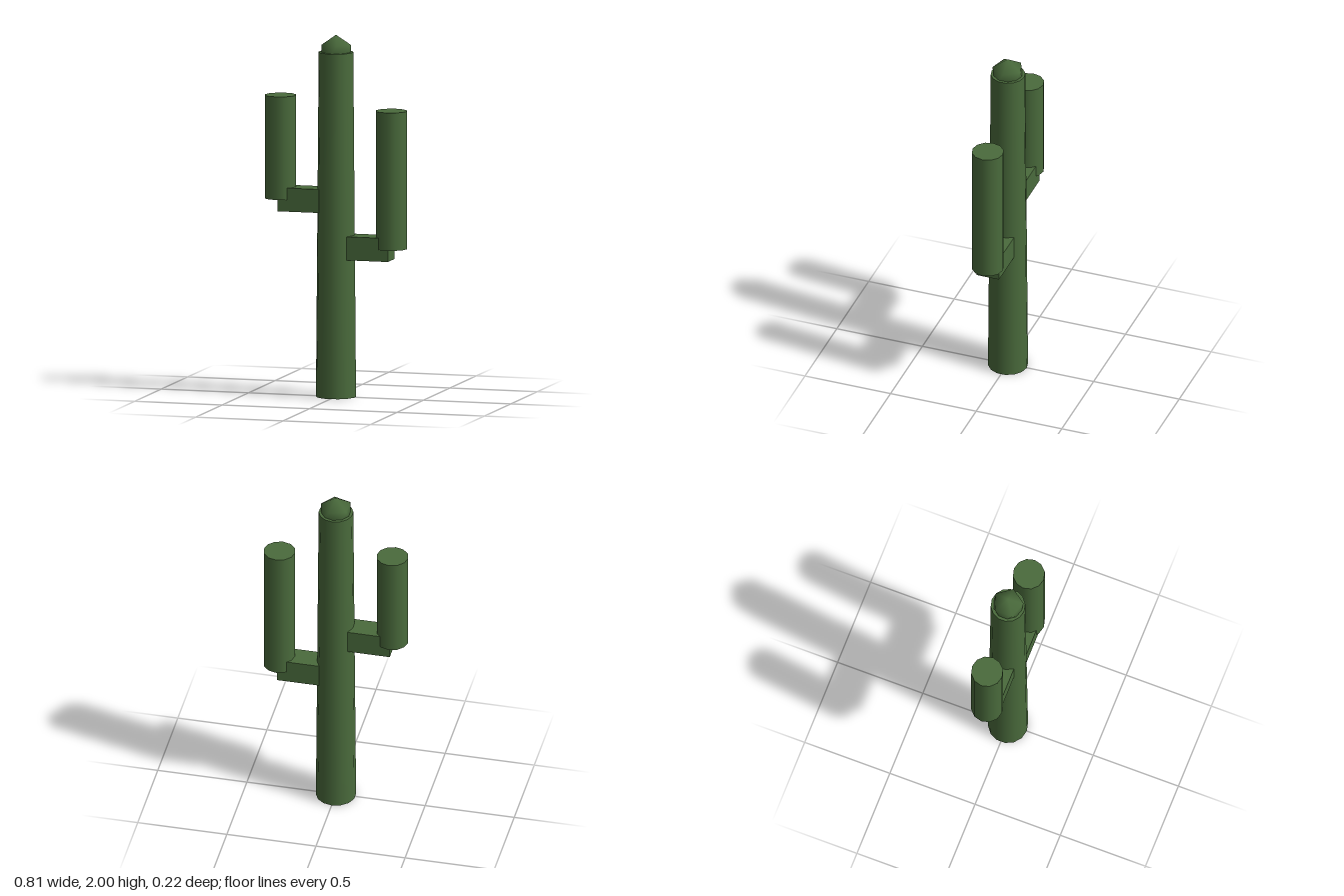
import * as THREE from 'three';
import { mergeVertices } from 'three/addons/utils/BufferGeometryUtils.js';

export function createModel() {
  const model = new THREE.Group();
  model.name = 'cactus';
  const green = new THREE.MeshStandardMaterial({ name: 'cactusGreen', color: 0x4a6b3c });

  const add = (name, geometry, x, y, parent = model) => {
    const mesh = new THREE.Mesh(geometry, green);
    mesh.name = name;
    mesh.position.set(x, y, 0);
    parent.add(mesh);
    return mesh;
  };

  // Tapered trunk
  const trunkHeight = 1.905;
  add('trunk', new THREE.CylinderGeometry(0.095, 0.11, trunkHeight, 14), 0, trunkHeight / 2);

  // Smooth-shaded icosahedron tip, turned so one corner points straight up
  let tip = new THREE.IcosahedronGeometry(0.095, 0);
  tip.deleteAttribute('uv');
  tip.deleteAttribute('normal');
  tip = mergeVertices(tip);
  tip.rotateZ(-Math.atan(2 / (1 + Math.sqrt(5))));
  tip.computeVertexNormals();
  add('tip', tip, 0, trunkHeight);

  // Arms: a square branch, with an upright starting at its mid height
  const addArm = (name, side, y, height) => {
    const arm = new THREE.Group();
    arm.name = name;
    model.add(arm);
    add('branch', new THREE.BoxGeometry(0.237, 0.13, 0.13), side * 0.1975, y, arm);
    add('upright', new THREE.CylinderGeometry(0.088, 0.088, height, 12), side * 0.317, y + height / 2, arm);
  };
  addArm('leftArm', 1, 0.83, 0.762);
  addArm('rightArm', -1, 1.085, 0.57);

  return model;
}
